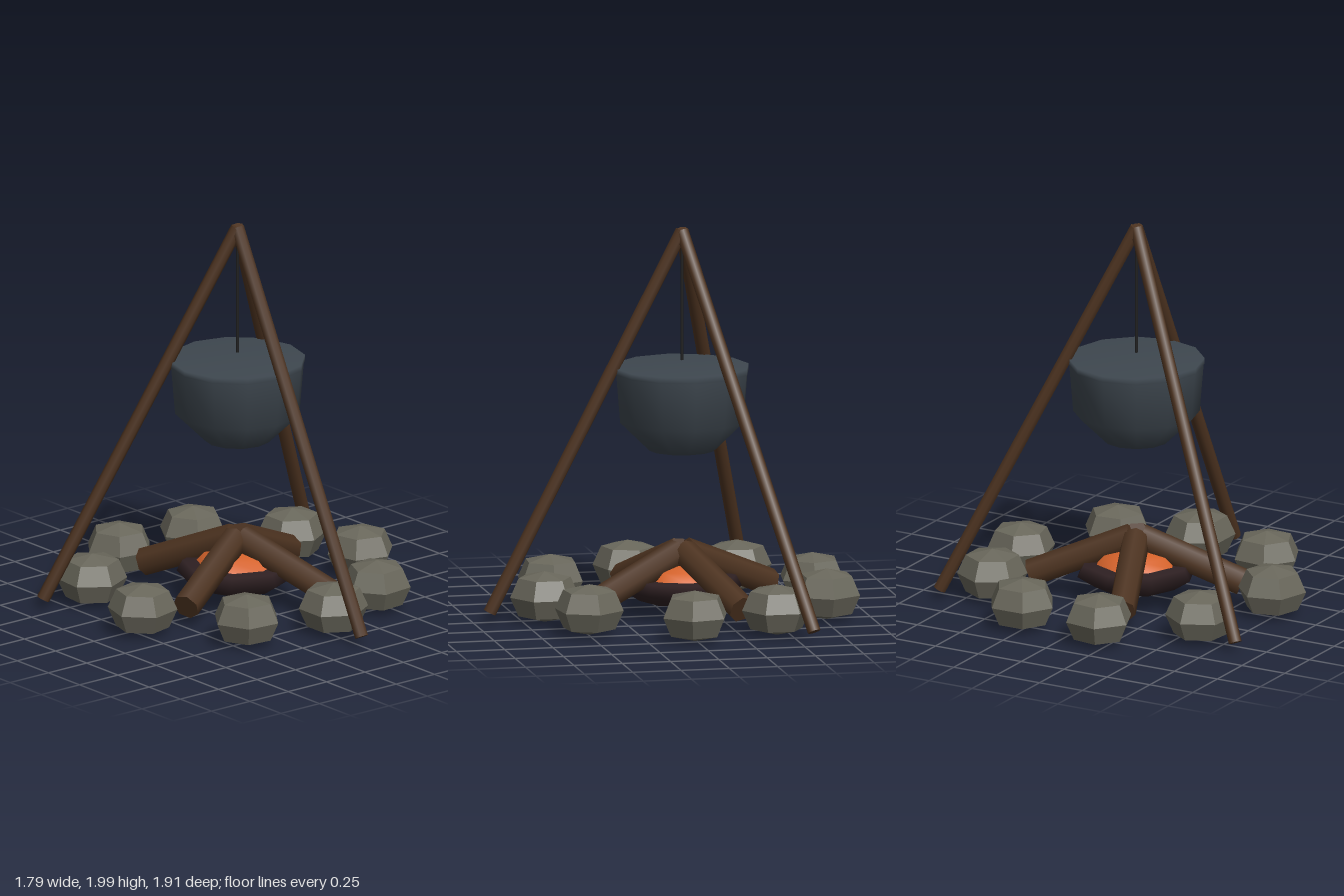
import * as THREE from 'three';

const CZ = -0.08; // centre of the fire in z

function material(name, color, extra = {}) {
  const m = new THREE.MeshStandardMaterial({ color, ...extra });
  m.name = name;
  return m;
}

export function createModel() {
  const wood = material('brown wood', 0x4d3320);
  const stone = material('grey stone', 0x69675b, { flatShading: true });
  const iron = material('dark iron', 0x3e474f);
  const ash = material('charred ash', 0x2e2022);
  const ember = material('orange ember', 0xd4622a);
  const wire = material('black wire', 0x222222);

  const model = new THREE.Group();
  model.name = 'campfire';

  function add(name, geometry, mat, x = 0, y = 0, z = 0) {
    const mesh = new THREE.Mesh(geometry, mat);
    mesh.name = name;
    mesh.position.set(x, y, z);
    model.add(mesh);
    return mesh;
  }

  // Straight round bar between two points
  function bar(name, a, b, radius, sides, mat) {
    const dir = b.clone().sub(a);
    const mid = a.clone().add(b).multiplyScalar(0.5);
    const mesh = add(name, new THREE.CylinderGeometry(radius, radius, dir.length(), sides), mat, mid.x, mid.y, mid.z);
    mesh.quaternion.setFromUnitVectors(new THREE.Vector3(0, 1, 0), dir.normalize());
    return mesh;
  }

  function lathe(points, sides) {
    return new THREE.LatheGeometry(points.map(([r, y]) => new THREE.Vector2(r, y)), sides);
  }

  // Point at an angle around the fire, measured from +z towards +x
  function around(degrees, radius, y) {
    const a = THREE.MathUtils.degToRad(degrees);
    return new THREE.Vector3(Math.sin(a) * radius, y, CZ + Math.cos(a) * radius);
  }

  // Tripod poles
  for (const angle of [0, 120, 240]) {
    bar('tripodPole', around(angle, 0.995, 0.06), around(angle, 0, 1.985), 0.034, 8, wood);
  }

  // Hanging wire and pot
  bar('hangingWire', new THREE.Vector3(0, 1.32, CZ), new THREE.Vector3(0, 1.97, CZ), 0.007, 6, wire);
  add('pot', lathe([[0, 0.86], [0.168, 0.86], [0.32, 1.01], [0.34, 1.255], [0.345, 1.26], [0.345, 1.29], [0, 1.29]], 12), iron, 0, 0, CZ);

  // Fire bed and embers
  add('fireBed', lathe([[0, 0.07], [0.22, 0.09], [0.31, 0.15], [0.28, 0.205], [0, 0.215]], 8), ash, 0, 0, CZ);
  add('embers', lathe([[0.215, 0.2], [0.17, 0.25], [0.09, 0.275], [0, 0.28]], 8), ember, 0, 0, CZ);

  // Leaning logs
  for (let i = 0; i < 4; i++) {
    const angle = 22 + i * 90;
    bar('log', around(angle, 0.54, 0.12), around(angle, 0.02, 0.335), 0.072, 7, wood);
  }

  // Ring of stones: x, z, turn in degrees
  const stones = [
    [0.04, 0.64, 90], [0.44, 0.495, -6], [0.725, 0.01, 76],
    [0.64, -0.43, 90], [0.27, -0.77, 0], [-0.19, -0.795, 8],
    [-0.61, -0.495, 95], [-0.72, 0.045, 106], [-0.42, 0.51, 5],
  ];
  const stoneShape = lathe([[0, -0.13], [0.135, -0.097], [0.178, 0], [0.135, 0.097], [0, 0.13]], 6);
  for (const [x, z, turn] of stones) {
    const rock = add('stone', stoneShape, stone, x, 0.14, z);
    rock.rotation.y = THREE.MathUtils.degToRad(90 - turn);
  }

  // Rest on the ground
  const box = new THREE.Box3().setFromObject(model, true);
  model.children.forEach((part) => { part.position.y -= box.min.y; });
  return model;
}
